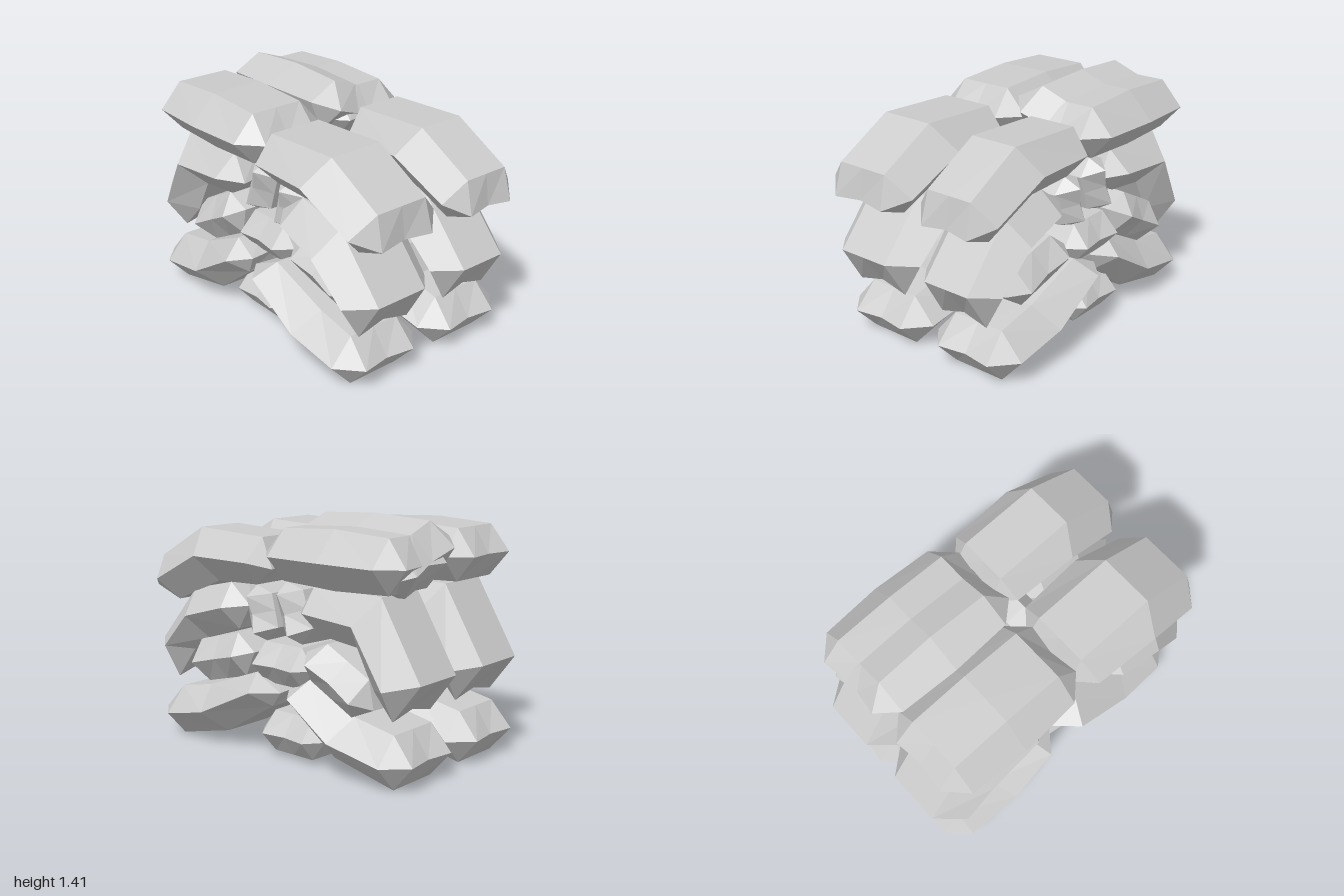
import * as THREE from 'three';

// Loft a faceted bag through flat-topped sections that close to a short, slightly dented edge at both ends.
// rings: three [topX, topY, bottomX, bottomY]; start/end: [x, y] of the end edges.
function bagGeometry(start, rings, end, wide = 0.3, flat = 0.165, tip = 0.175) {
  const section = ([tx, ty, bx, by], i) => {
    const w = wide * (i === 1 ? 1.07 : 1), mx = (tx + bx) / 2, my = (ty + by) / 2;
    return [[tx, ty, flat], [mx, my, w], [bx, by, flat], [bx, by, 0],
      [bx, by, -flat], [mx, my, -w], [tx, ty, -flat], [tx, ty, 0]].map(p => new THREE.Vector3(...p));
  };
  const edge = ([x, y], [tx, ty, bx, by]) => {
    const dent = new THREE.Vector3(x, y, 0).lerp(new THREE.Vector3((tx + bx) / 2, (ty + by) / 2, 0), 0.2);
    return [1, 1, 1, 0, -1, -1, -1, 0].map(s => s ? new THREE.Vector3(x, y, s * tip) : dent);
  };
  const sections = [edge(start, rings[0]), ...rings.map(section), edge(end, rings[2])];
  const pos = [];
  const tri = (a, b, c) => {
    const area = b.clone().sub(a).cross(c.clone().sub(a)).length();
    if (area > 1e-6) for (const p of [a, b, c]) pos.push(p.x, p.y, p.z);
  };
  for (let i = 0; i < sections.length - 1; i++) {
    for (let k = 0; k < 8; k++) {
      const n = (k + 1) % 8, r = sections[i], q = sections[i + 1];
      tri(r[k], r[n], q[n]);
      tri(r[k], q[n], q[k]);
    }
  }
  const g = new THREE.BufferGeometry();
  g.setAttribute('position', new THREE.Float32BufferAttribute(pos, 3));
  g.computeVertexNormals();
  return g;
}

export function createModel() {
  const group = new THREE.Group();
  const material = new THREE.MeshStandardMaterial({ color: 0xcccccc, flatShading: true });
  const add = (name, geometry) => {
    const mesh = new THREE.Mesh(geometry, material);
    mesh.name = name;
    group.add(mesh);
    return mesh;
  };

  // Large bags: bent across x, each laid as a front and a back copy (depth scales the back one)
  const bags = [
    { name: 'bottomRightBag', start: [-0.97, 0.15], end: [-0.1, 0.42], z: [0.32, -0.28], depth: 1,
      rings: [[-0.84, 0.3, -0.84, 0], [-0.575, 0.35, -0.43, 0.09], [-0.25, 0.5, -0.15, 0.31]] },
    { name: 'bottomLeftBag', start: [-0.07, 0.4], end: [0.9, 0.15], z: [0.32, -0.32], depth: 1,
      rings: [[0.125, 0.49, 0, 0.31], [0.51, 0.35, 0.37, 0.09], [0.76, 0.3, 0.76, 0]] },
    { name: 'middleRightBag', start: [-0.83, 0.37], end: [-0.18, 0.87], z: [0.3, -0.28], depth: 0.95,
      rings: [[-1, 0.59, -0.69, 0.52], [-0.74, 1.02, -0.58, 0.73], [-0.28, 1.03, -0.32, 0.76]] },
    { name: 'middleLeftBag', start: [0.21, 0.86], end: [0.84, 0.34], z: [0.325, -0.29], depth: 0.9,
      rings: [[0.37, 0.98, 0.31, 0.71], [0.68, 0.91, 0.57, 0.62], [0.98, 0.57, 0.7, 0.53]] },
    { name: 'topLeftBag', start: [0.02, 1.09], end: [1, 0.9], z: [0.32, -0.305], depth: 0.88,
      rings: [[0.1, 1.265, 0.15, 0.99], [0.6, 1.285, 0.46, 0.98], [0.95, 1.09, 0.815, 0.83]] },
    { name: 'topRightBag', start: [-0.92, 1.18], end: [0.06, 1.18], z: [0.32, -0.29], depth: 1,
      rings: [[-0.8, 1.33, -0.8, 1.035], [-0.44, 1.35, -0.44, 1.02], [-0.07, 1.33, -0.07, 1.035]] },
  ];
  for (const b of bags) {
    b.z.forEach((z, i) => {
      const mesh = add(b.name + (i ? 'Back' : 'Front'), bagGeometry(b.start, b.rings, b.end));
      mesh.position.z = z;
      mesh.scale.z = i ? b.depth : 1;
    });
  }

  // Extra bag tipped over the back of the top layer
  const top = bags[5];
  add('tippedTopBag', bagGeometry(top.start, top.rings, top.end)
    .translate(0, -1.18, 0).rotateX(-0.35).translate(0, 1.195, -0.21));

  // Small filler bags running front to back: x, y, z, half width, half height, half length, tilt
  const fillers = [
    ['bottomFiller', -0.11, 0.15, -0.02, 0.245, 0.127, 0.51, 0],
    ['centreFiller', -0.06, 0.555, -0.03, 0.24, 0.125, 0.53, 0],
    ['rightFiller', -0.485, 0.54, -0.02, 0.28, 0.135, 0.56, 0.48],
    ['leftFiller', 0.43, 0.525, -0.03, 0.28, 0.135, 0.53, -0.25],
    ['upperRightFiller', -0.13, 0.86, -0.03, 0.19, 0.11, 0.51, 1.25],
    ['upperLeftFiller', 0.12, 0.83, -0.03, 0.17, 0.11, 0.51, 1.33],
  ];
  for (const [name, x, y, z, w, h, l, tilt] of fillers) {
    const rings = [-0.8, 0, 0.8].map(s => [s * l, h * (s ? 0.95 : 1.03), s * l, -h * (s ? 0.95 : 1.03)]);
    const mesh = add(name, bagGeometry([-l, 0], rings, [l, 0], w * 0.95, w * 0.58, w * 0.62));
    mesh.rotation.set(0, Math.PI / 2, tilt, 'ZYX');
    mesh.position.set(x, y, z);
  }
  return group;
}
